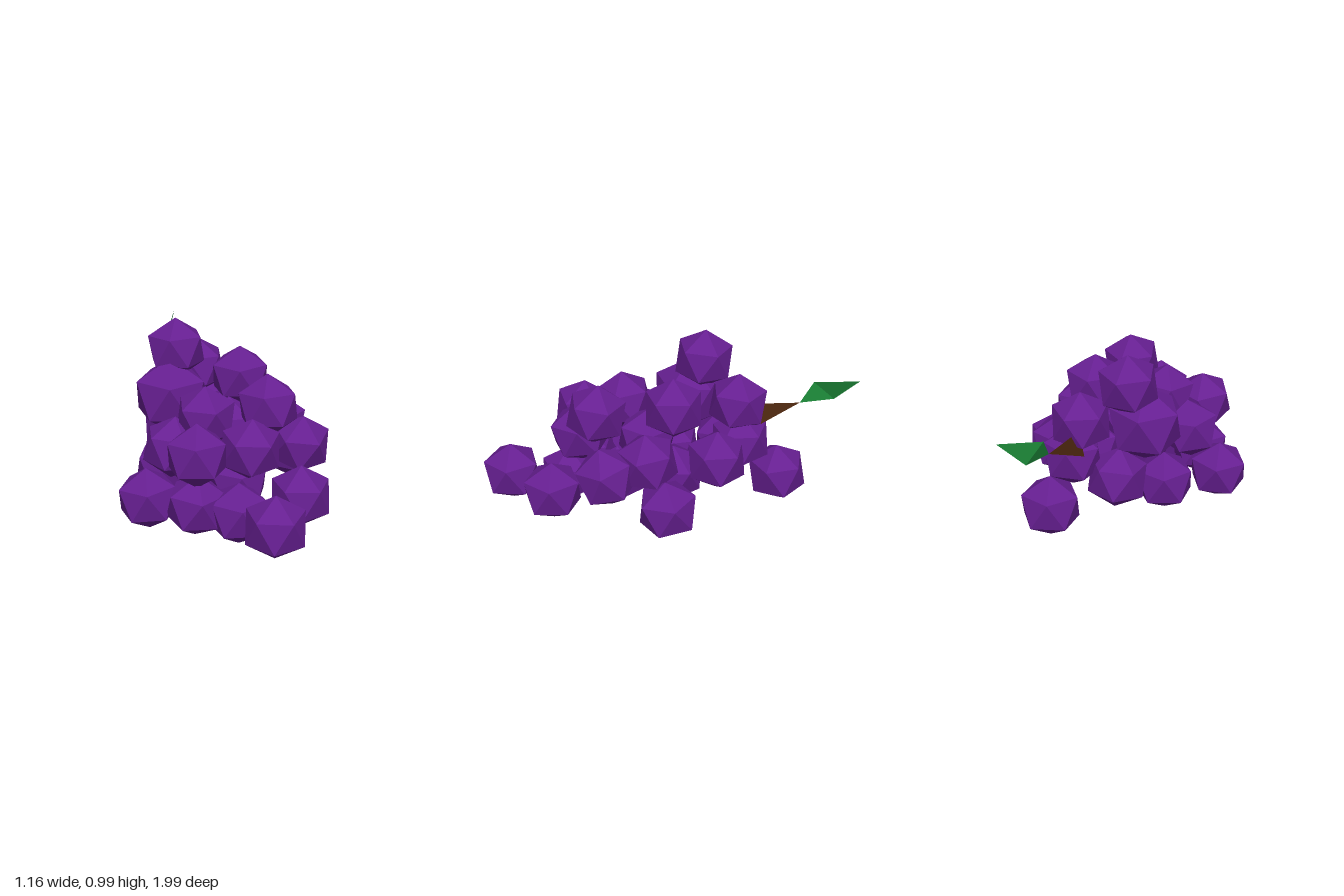
import * as THREE from 'three';

const mat = (name, color) => {
  const m = new THREE.MeshStandardMaterial({ color });
  m.name = name;
  m.flatShading = true;
  return m;
};

// Grape centres, from the tip of the bunch back to the stem (optional 4th value: size)
const GRAPES = [
  [0.09, 0.23, 0.85], [0.30, 0.25, 0.59], [-0.01, 0.17, 0.55], [-0.21, 0.20, 0.47],
  [0.07, 0.48, 0.47], [-0.21, 0.48, 0.49], [0.19, 0.66, 0.36], [0.39, 0.405, 0.29],
  [-0.43, 0.19, 0.31], [-0.28, 0.43, 0.24], [-0.11, 0.59, 0.25], [0.06, 0.22, 0.27],
  [0.06, 0.46, 0.11], [0.32, 0.46, 0.08], [0.43, 0.25, -0.03], [0.15, 0.69, -0.04],
  [0.16, 0.31, -0.04], [-0.28, 0.22, 0.0], [-0.22, 0.59, -0.1, 1.25], [-0.17, 0.825, -0.18],
  [0.20, 0.42, -0.27], [-0.18, 0.34, -0.29], [-0.01, 0.65, -0.37], [0.03, 0.45, -0.39],
  [0.02, 0.25, -0.595],
];

export function createModel() {
  const group = new THREE.Group();
  group.name = 'grapeBunch';
  const purple = mat('grape purple', 0x661f91);
  const brown = mat('stem brown', 0x47240d);
  const green = mat('leaf green', 0x1c8537);
  green.side = THREE.DoubleSide;

  let seed = 7;
  const rand = () => (seed = (seed * 16807) % 2147483647) / 2147483647;

  // Faceted grapes, one vertex turned upward, each tilted a little
  const grapeGeo = new THREE.IcosahedronGeometry(0.168, 0);
  grapeGeo.rotateZ(-Math.atan(2 / (1 + Math.sqrt(5))));
  GRAPES.forEach(([x, y, z, size = 1], i) => {
    const grape = new THREE.Mesh(grapeGeo, purple);
    grape.name = `grape${i + 1}`;
    grape.position.set(x, y, z);
    grape.scale.setScalar(size);
    const tilt = i < 3 || size > 1 ? 0 : 0.25;
    grape.rotation.set((rand() - 0.5) * tilt, i === 0 ? 0 : rand() * 6.28, (rand() - 0.5) * tilt);
    group.add(grape);
  });

  // Three-sided pointed stem
  const base = new THREE.Vector3(-0.035, 0.555, -0.45);
  const tip = new THREE.Vector3(-0.07, 0.63, -0.7);
  const axis = tip.clone().sub(base);
  const stem = new THREE.Mesh(new THREE.ConeGeometry(0.075, axis.length(), 3), brown);
  stem.name = 'stem';
  stem.position.copy(base).add(tip).multiplyScalar(0.5);
  stem.quaternion.setFromUnitVectors(new THREE.Vector3(0, 1, 0), axis.normalize());
  group.add(stem);

  // Folded diamond leaf
  const root = [-0.07, 0.63, -0.7], upper = [-0.1, 0.74, -0.77];
  const lower = [-0.08, 0.655, -0.88], point = [-0.01, 0.8, -1];
  const leafGeo = new THREE.BufferGeometry();
  leafGeo.setAttribute('position', new THREE.Float32BufferAttribute(
    [root, lower, upper, upper, lower, point].flat(), 3));
  leafGeo.computeVertexNormals();
  const leaf = new THREE.Mesh(leafGeo, green);
  leaf.name = 'leaf';
  group.add(leaf);

  return group;
}
